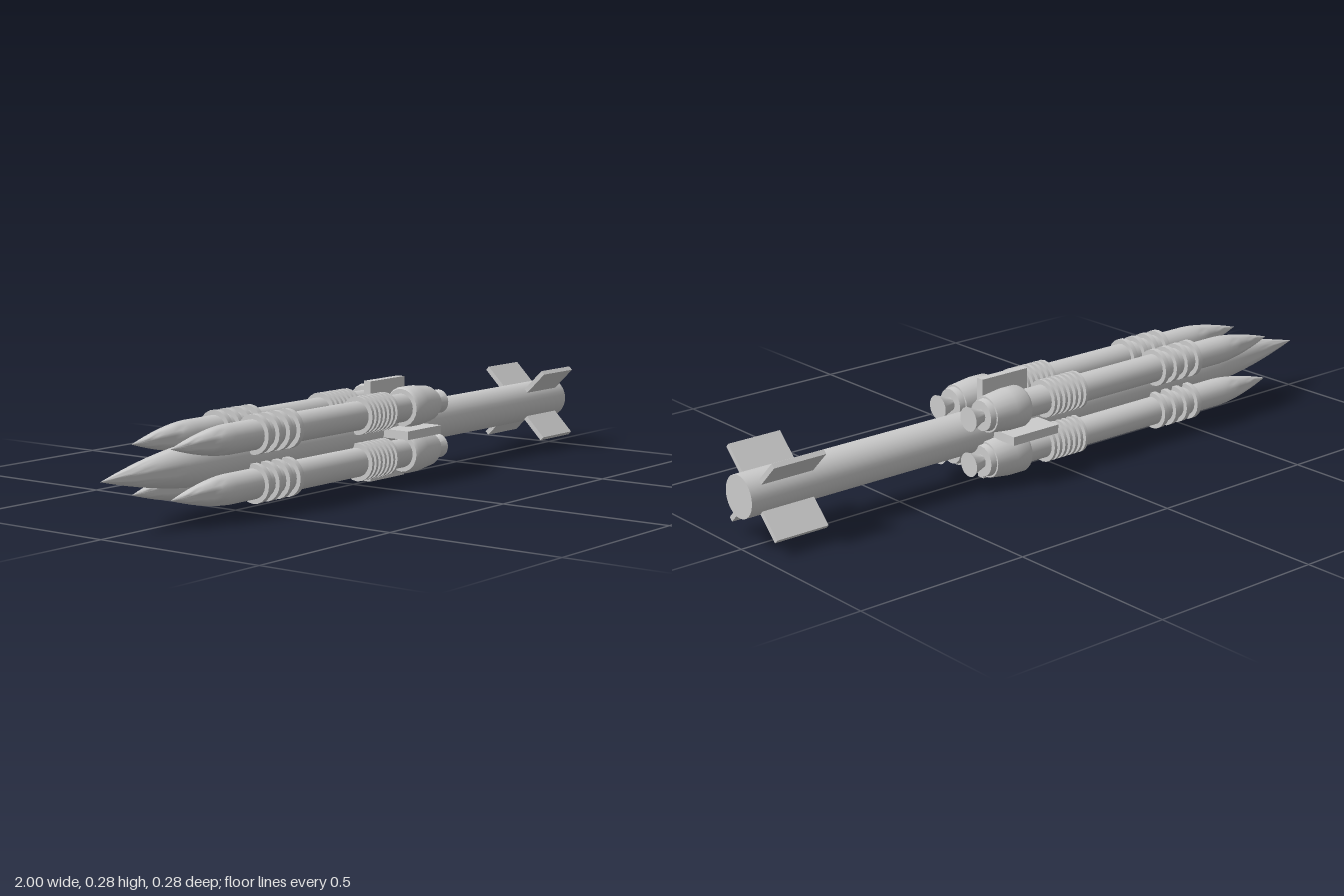
import * as THREE from 'three';
import { toCreasedNormals } from 'three/addons/utils/BufferGeometryUtils.js';

const AXIS_Y = 0.142;
const material = new THREE.MeshStandardMaterial({ color: 0xcccccc });

// Solid of revolution along x from [x, radius] pairs.
function turned(name, profile, sides) {
  const points = profile.map(([x, r]) => new THREE.Vector2(r, x));
  const geometry = new THREE.LatheGeometry(points, sides).rotateZ(-Math.PI / 2);
  const mesh = new THREE.Mesh(toCreasedNormals(geometry, Math.PI / 5), material);
  mesh.name = name;
  return mesh;
}

// Pointed nose profile swelling to full radius.
function ogive(tip, base, radius) {
  const steps = 8, profile = [];
  for (let i = 0; i <= steps; i++) {
    const t = i / steps;
    profile.push([tip + (base - tip) * t, radius * (1 - Math.pow(1 - t, 1.6))]);
  }
  return profile;
}

function ring(name, x, width, radius) {
  const a = x - width / 2, b = x + width / 2;
  return turned(name, [[a, 0.03], [a, radius], [b, radius], [b, 0.03]], 20);
}

// Four radial plates around the core.
function finSet(name, x0, x1, reach, thickness, startAngle) {
  const set = new THREE.Group();
  set.name = name;
  for (let i = 0; i < 4; i++) {
    const geometry = new THREE.BoxGeometry(x1 - x0, reach - 0.03, thickness);
    geometry.translate((x0 + x1) / 2, (reach + 0.03) / 2, 0);
    const fin = new THREE.Mesh(geometry, material);
    fin.name = 'fin';
    fin.rotation.x = startAngle + i * Math.PI / 2;
    set.add(fin);
  }
  return set;
}

function createBooster() {
  const booster = new THREE.Group();
  booster.name = 'booster';
  booster.add(turned('boosterBody', [...ogive(-0.82, -0.61, 0.04), [0.15, 0.04], [0.15, 0]], 20));
  // Forward bands
  for (let i = 0; i < 4; i++) booster.add(ring('forwardBand', -0.497 + i * 0.043, 0.016, 0.053));
  // Closely spaced cooling ribs
  for (let i = 0; i < 7; i++) booster.add(ring('coolingRib', -0.062 + i * 0.019, 0.009, 0.053));
  // Engine housing with a tapered rear collar
  booster.add(turned('engineHousing', [
    [0.136, 0], [0.136, 0.053], [0.145, 0.058], [0.19, 0.058], [0.255, 0.05],
    [0.255, 0.045], [0.272, 0.042], [0.272, 0],
  ], 20));
  // Flared nozzle
  booster.add(turned('nozzle', [[0.265, 0.018], [0.275, 0.018], [0.315, 0.034], [0.315, 0]], 20));
  return booster;
}

export function createModel() {
  const model = new THREE.Group();
  model.name = 'missile';
  model.position.y = AXIS_Y;

  model.add(turned('coreBody', [...ogive(-1, -0.64, 0.058), [1, 0.058], [1, 0]], 32));

  // Boosters in the four diagonal corners
  for (const sy of [-1, 1]) {
    for (const sz of [-1, 1]) {
      const booster = createBooster();
      booster.position.set(0, sy * 0.064, sz * 0.065);
      model.add(booster);
    }
  }

  model.add(finSet('middleFins', 0.065, 0.222, 0.141, 0.024, 0));
  model.add(finSet('tailFins', 0.805, 0.962, 0.142, 0.014, Math.PI / 4));

  const root = new THREE.Group();
  root.add(model);
  return root;
}
